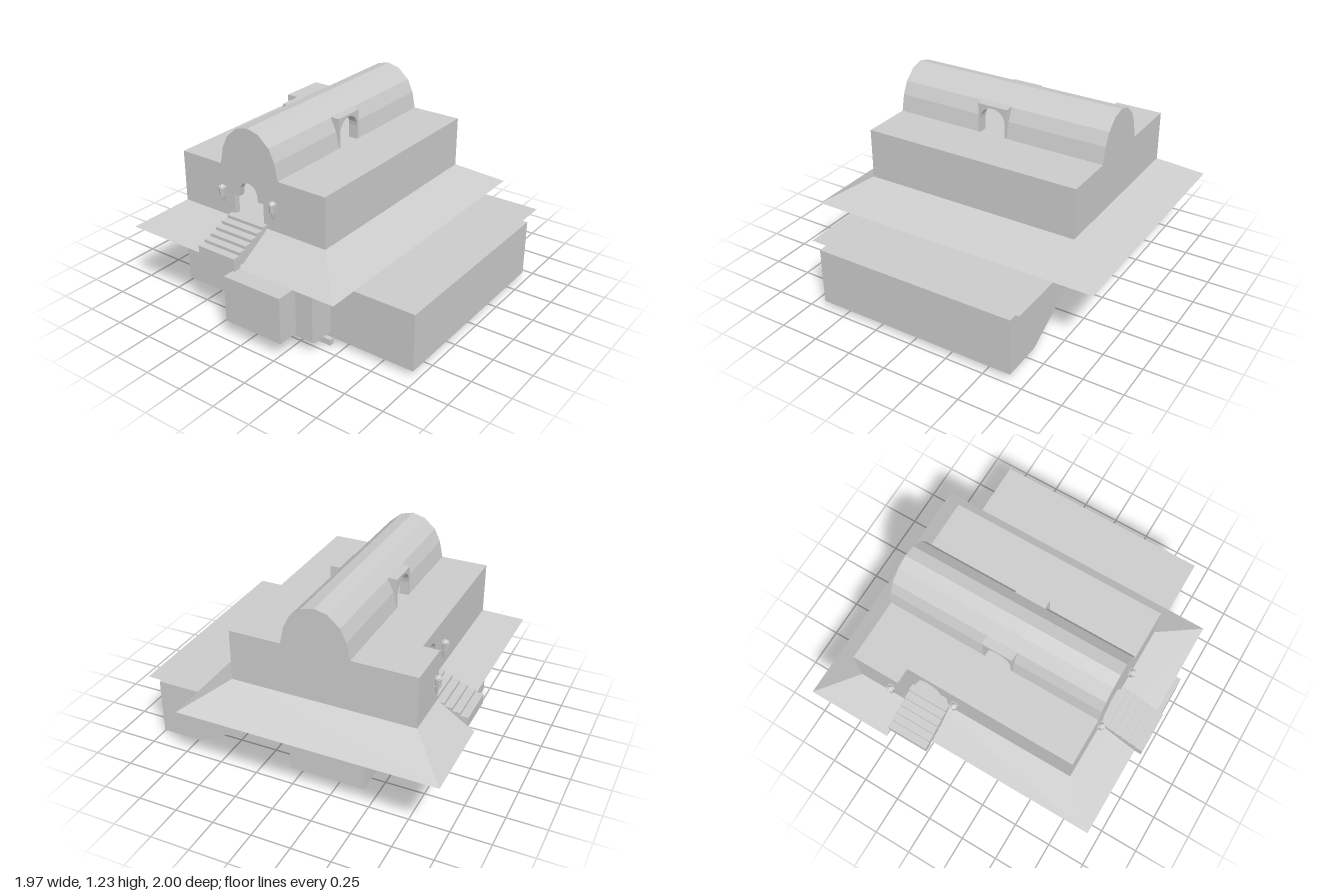
import * as THREE from 'three';

const mat = new THREE.MeshStandardMaterial({ color: 0xcccccc, flatShading: true, side: THREE.DoubleSide });

export function createModel() {
  const root = new THREE.Group();

  const add = (name, geo, parent = root) => {
    const m = new THREE.Mesh(geo, mat);
    m.name = name;
    parent.add(m);
    return m;
  };
  // Box given by its limits on each axis
  const box = (name, x0, x1, y0, y1, z0, z1, parent) => add(name,
    new THREE.BoxGeometry(x1 - x0, y1 - y0, z1 - z0)
      .translate((x0 + x1) / 2, (y0 + y1) / 2, (z0 + z1) / 2), parent);
  const toShape = (pts, holes = []) => {
    const s = new THREE.Shape(pts.map(p => new THREE.Vector2(...p)));
    holes.forEach(h => s.holes.push(new THREE.Path(h.map(p => new THREE.Vector2(...p)))));
    return s;
  };
  const extrude = (pts, depth, holes) =>
    new THREE.ExtrudeGeometry(toShape(pts, holes), { depth, bevelEnabled: false });
  // Profile of (x, y) points swept along z
  const alongZ = (name, pts, z0, z1, holes) => add(name, extrude(pts, z1 - z0, holes).translate(0, 0, z0));
  // Profile of (z, y) points swept along x
  const alongX = (name, pts, x0, x1, holes = []) => {
    const flip = l => l.map(([z, y]) => [-z, y]);
    return add(name, extrude(flip(pts), x1 - x0, holes.map(flip)).rotateY(Math.PI / 2).translate(x0, 0, 0));
  };
  const rect = (a, b, c, d) => [[a, c], [b, c], [b, d], [a, d]];
  // Strip of quads between two outlines of equal length
  const loft = (name, a, b, closed) => {
    const pos = [], idx = [], n = a.length;
    a.forEach((p, i) => pos.push(...p, ...b[i]));
    for (let i = 0; i < (closed ? n : n - 1); i++) {
      const j = (i + 1) % n;
      idx.push(2 * i, 2 * i + 1, 2 * j, 2 * j, 2 * i + 1, 2 * j + 1);
    }
    const g = new THREE.BufferGeometry();
    g.setAttribute('position', new THREE.Float32BufferAttribute(pos, 3));
    g.setIndex(idx);
    const flat = g.toNonIndexed();
    flat.computeVertexNormals();
    return add(name, flat);
  };
  // Round-headed opening
  const arch = (c, half, y0, top, n = 10) => {
    const pts = [[c - half, y0], [c + half, y0]];
    for (let i = 0; i <= n; i++) {
      const t = Math.PI * i / n;
      pts.push([c + half * Math.cos(t), top - half + half * Math.sin(t)]);
    }
    return pts;
  };
  // Stepped doorway with a round head
  const doorway = (c, w, y0, top) => [
    [c - w, y0], [c + w, y0], [c + w, top - 0.1], [c + w * 0.65, top - 0.1],
    ...arch(c, w * 0.6, 0, top).slice(2),
    [c - w * 0.65, top - 0.1], [c - w, top - 0.1]];

  // Upper hall: walls with two doorways, floor and flat roof
  const y0 = 0.63, y1 = 0.955, T = 0.04;
  box('hallFrontWall', -0.69, 0.73, y0, y1, 0.39 - T, 0.39);
  box('hallRightWall', 0.73 - T, 0.73, y0, y1, -0.77, 0.39);
  alongX('hallLeftWall', rect(-0.67, 0.39, y0, y1), -0.69, -0.69 + T, [doorway(-0.165, 0.11, 0.652, 0.88)]);
  alongZ('hallBackWall', rect(-0.69, 0.43, y0, y1), -0.67, -0.67 + T, [doorway(0.285, 0.12, 0.652, 0.89)]);
  box('hallBackBay', 0.42, 0.73, y0, y1, -0.77, -0.63);
  const plan = [[-0.69, 0.39], [0.73, 0.39], [0.73, -0.77], [0.42, -0.77], [0.42, -0.67], [-0.69, -0.67]];
  for (const [name, y] of [['hallFloor', y0], ['hallRoof', y1]])
    add(name, new THREE.ShapeGeometry(toShape(plan.map(([x, z]) => [x, -z]))).rotateX(-Math.PI / 2).translate(0, y, 0));

  // Flared skirt roof
  const eave = [[-0.94, 0.63], [0.98, 0.63], [0.98, -1], [0.42, -1], [0.42, -0.885], [-0.94, -0.885]];
  loft('skirtRoof', eave.map(([x, z]) => [x, 0.48, z]), plan.map(([x, z]) => [x, y0, z]), true);
  add('terraceSheet', new THREE.PlaneGeometry(1.42, 1.66).rotateX(-Math.PI / 2).translate(0.02, 0.48, 0.165));

  // Barrel vault, open at the two dormers
  const half = [[0.215, 0.955], [0.193, 1.06], [0.155, 1.14], [0.08, 1.205], [0, 1.225]];
  const zc = -0.155;
  const arc = [...half.map(([d, y]) => [zc + d, y]), ...half.slice(0, 4).reverse().map(([d, y]) => [zc - d, y])];
  const vault = (x0, x1, pts) => loft('vault', pts.map(([z, y]) => [x0, y, z]), pts.map(([z, y]) => [x1, y, z]), false);
  vault(-0.69, -0.105, arc);
  vault(-0.105, 0.08, arc.slice(2, 7));
  vault(0.08, 0.73, arc);
  for (const x of [-0.69, 0.729]) alongX('vaultGable', arc, x, x + 0.001);
  for (const [a, b] of [[0, 0.06], [-0.37, -0.31]])
    alongZ('dormer', [[-0.115, 0.955], [-0.102, 0.955], ...arch(-0.015, 0.087, 0.955, 1.13).slice(2).reverse(),
      [0.072, 0.955], [0.085, 0.955], [0.085, 1.145], [-0.115, 1.145]], a, b);

  // Two outside stairs
  for (let i = 0; i < 6; i++) {
    const x = -0.985 + i * 0.05, top = 0.562 + i * 0.019;
    box('leftStep', x, i === 5 ? -0.68 : x + 0.05, top - 0.08, top, -0.30, -0.03);
    const z = -0.96 + i * 0.049;
    box('backStep', 0.155, 0.425, top - 0.065, top, z, i === 5 ? -0.66 : z + 0.049);
  }

  // Wall lanterns beside each doorway
  const lantern = (x, z, turn) => {
    const g = new THREE.Group();
    g.name = 'lantern';
    add('lanternBody', new THREE.CylinderGeometry(0.024, 0.018, 0.06, 6).translate(0, 0.79, 0.02), g);
    add('lanternCap', new THREE.ConeGeometry(0.026, 0.02, 6).translate(0, 0.825, 0.02), g);
    add('lanternTail', new THREE.CylinderGeometry(0.018, 0.004, 0.055, 6).translate(0, 0.733, 0.012), g);
    g.position.set(x, 0, z);
    g.rotation.y = turn;
    root.add(g);
  };
  lantern(-0.69, 0.03, -Math.PI / 2);
  lantern(-0.69, -0.35, -Math.PI / 2);
  lantern(0.10, -0.67, Math.PI);
  lantern(0.48, -0.77, Math.PI);

  // Lower storey with recessed panels in the underside
  box('lowerCore', -0.66, 0.42, 0.06, 0.41, -0.47, 0.97);
  add('lowerBase', extrude(rect(-0.66, 0.42, -0.97, 0.47), 0.02, [
    rect(-0.57, -0.39, 0.11, 0.25), rect(-0.56, -0.38, -0.34, -0.2),
    rect(-0.06, 0.1, 0.33, 0.37), rect(-0.15, 0.08, -0.12, -0.08),
  ]).rotateX(-Math.PI / 2).translate(0, 0.04, 0));
  alongX('frontWing', [[0.97, 0.04], [0.97, 0.41], [0.11, 0.41], [0.11, 0.245], [0.32, 0.245], [0.70, 0.04]], 0.42, 0.66);
  alongX('stairBlock', [[0.06, 0.04], [0.06, 0.41], [-0.09, 0.41], [-0.43, 0.22], [-0.43, 0.04]], 0.42, 0.66);
  alongX('stairCeiling', [[0.11, 0.48], [0.11, 0.445], [-0.09, 0.445], [-0.47, 0.245], [-0.73, 0.245], [-0.73, 0.48]], 0.42, 0.66);
  alongZ('backWing', [[-0.66, 0.04], [0, 0.04], [0.45, 0.245], [0.66, 0.245], [0.66, 0.46], [0.04, 0.46],
    [0.04, 0.445], [0.09, 0.41], [-0.66, 0.41]], -0.73, -0.47);
  box('ceilingSlab', -0.69, 0.66, 0.445, 0.479, -0.73, 0.355);
  box('hatch', 0.22, 0.365, 0.40, 0.46, 0.11, 0.33);

  // Stepped annex on the left end, with its threshold and door post
  alongZ('annexInner', [[-0.83, 0.09], [-0.80, 0.075], [-0.66, 0.075], [-0.66, 0.41], [-0.83, 0.41]], -0.25, 0.40);
  box('annexOuter', -0.97, -0.83, 0.11, 0.41, -0.13, 0.28);
  box('threshold', -0.69, -0.66, 0, 0.04, -0.26, 0.42);
  box('doorPost', -0.69, -0.66, 0, 0.48, -0.29, -0.275);

  return root;
}
